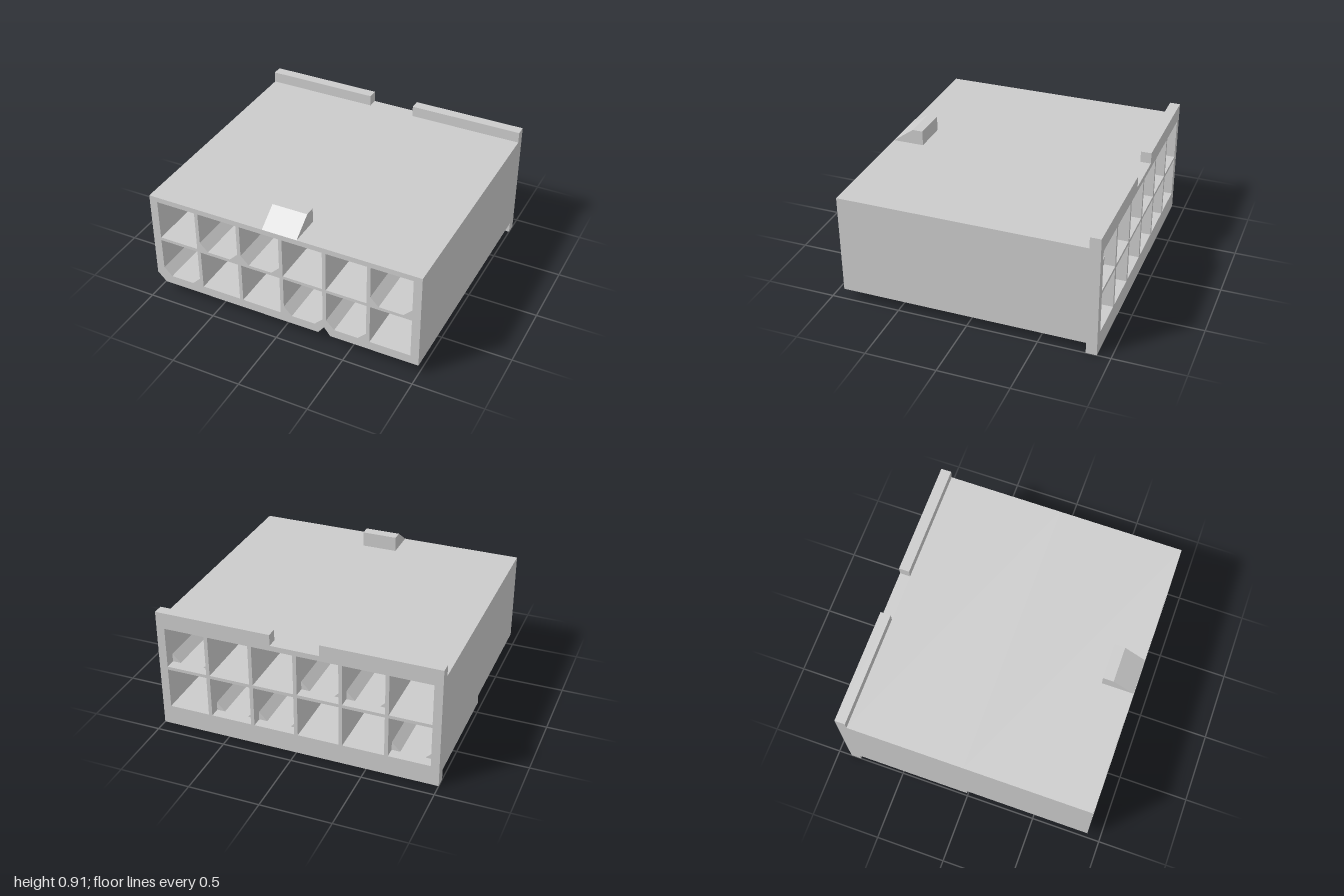
import * as THREE from 'three';

const polygon = (points, Type = THREE.Shape) => new Type(points.map(([x, y]) => new THREE.Vector2(x, y)));

// Rows of cells, left to right; 1 marks a cell with cut lower corners
const ROWS = [
  { y: 0.145, keyed: [1, 0, 0, 1, 1, 0] },
  { y: 0.465, keyed: [0, 1, 1, 0, 0, 1] },
];
const PITCH = 0.318, CELL = 0.292, CUT = 0.06;

function addCells(shape, useKeys) {
  for (const { y, keyed } of ROWS) {
    keyed.forEach((key, i) => {
      const l = (i - 2.5) * PITCH - CELL / 2, r = l + CELL, t = y + 0.297;
      const c = CUT;
      const points = key && useKeys
        ? [[l, y + c], [l + c, y], [r - c, y], [r, y + c], [r, t], [l, t]]
        : [[l, y], [r, y], [r, t], [l, t]];
      shape.holes.push(polygon(points, THREE.Path));
    });
  }
  return shape;
}

export function createModel() {
  const group = new THREE.Group();
  const material = new THREE.MeshStandardMaterial({ color: 0xcccccc });
  const add = (name, geometry) => {
    const mesh = new THREE.Mesh(geometry, material);
    mesh.name = name;
    group.add(mesh);
    return mesh;
  };
  const slab = (name, shape, z0, z1) => {
    const geometry = new THREE.ExtrudeGeometry(shape, { depth: z1 - z0, bevelEnabled: false });
    add(name, geometry.translate(0, 0, z0));
  };

  // Housing with a V groove below; the front half has one cut lower edge
  const groove = [[0.27, 0.08], [0.315, 0.14], [0.36, 0.08]];
  const rest = [...groove, [1, 0.08], [1, 0.8], [-1, 0.8]];
  slab('frontHousing', addCells(polygon([[-1, 0.145], [-0.935, 0.08], ...rest]), true), 0, 0.905);
  slab('rearHousing', addCells(polygon([[-1, 0.08], ...rest]), true), -0.83, 0);

  // Rear flange with square cells and a gap in its upper lip
  const flange = polygon([
    [-1, 0], [1, 0], [1, 0.88], [0.17, 0.88], [0.17, 0.8],
    [-0.175, 0.8], [-0.175, 0.88], [-1, 0.88],
  ]);
  slab('rearFlange', addCells(flange, false), -0.905, -0.83);

  // Latch ramp on top: profile in (-z, y), turned to run along x
  const latch = new THREE.ExtrudeGeometry(
    polygon([[-0.905, 0.8], [-0.68, 0.8], [-0.68, 0.908], [-0.755, 0.908]]),
    { depth: 0.255, bevelEnabled: false });
  add('latch', latch.rotateY(Math.PI / 2).translate(-0.13, 0, 0));

  // Half-round ribs under the rear half
  for (const x of [0.09, 0.157, 0.225, 0.44, 0.51, 0.79]) {
    const rib = new THREE.CylinderGeometry(0.03, 0.03, 0.83, 24);
    add('rib', rib.rotateX(Math.PI / 2)).position.set(x, 0.08, -0.415);
  }

  return group;
}
